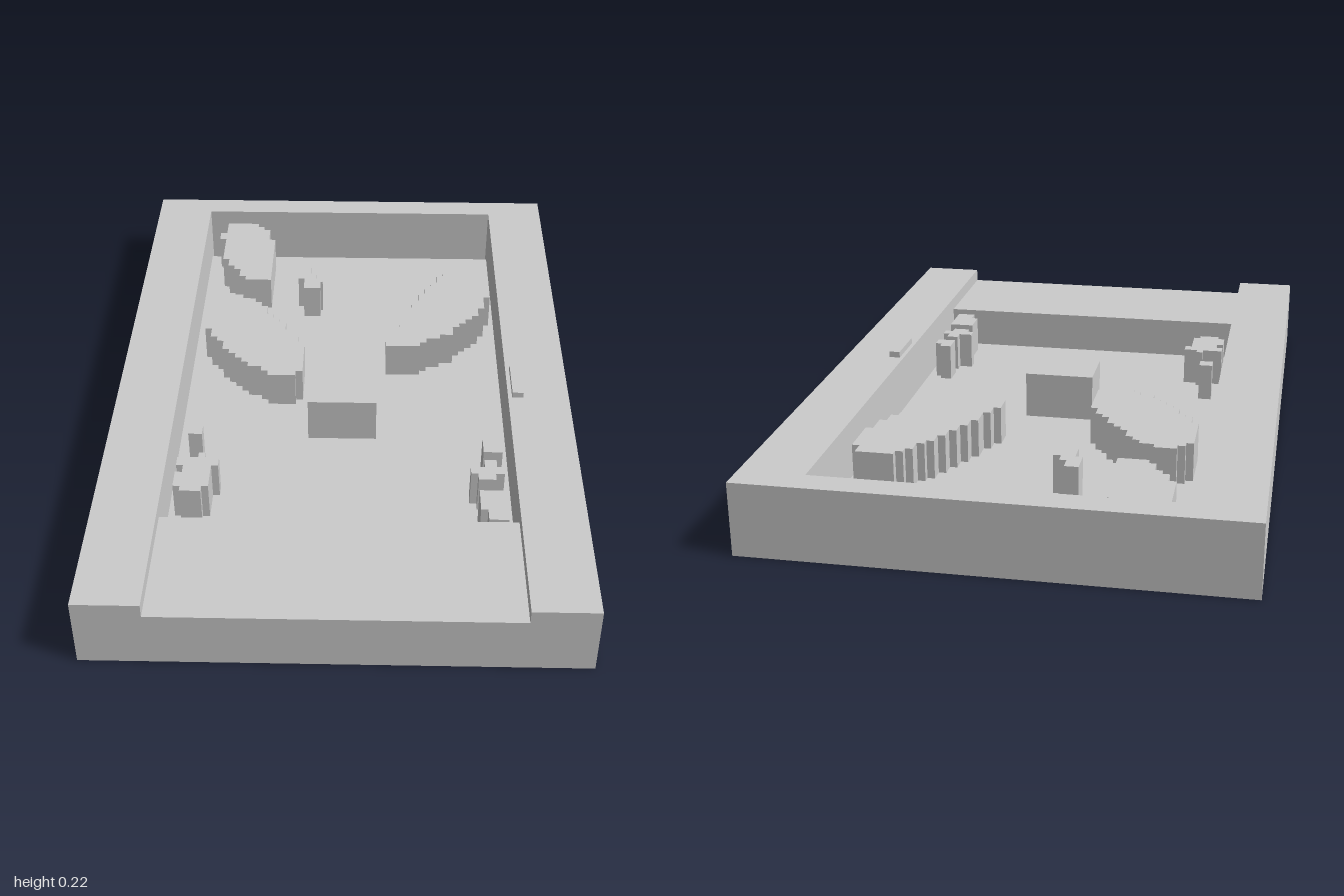
import * as THREE from 'three';

const TOP = 0.204, LEDGE = 0.165, FLOOR = 0.042, STEP = 0.0215;
const material = new THREE.MeshStandardMaterial({ color: 0xcccccc, flatShading: true });

function add(group, name, geometry) {
  const mesh = new THREE.Mesh(geometry, material);
  mesh.name = name;
  group.add(mesh);
}

// Box from its limits on each axis
function box(x0, x1, y0, y1, z0, z1) {
  return new THREE.BoxGeometry(x1 - x0, y1 - y0, z1 - z0)
    .translate((x0 + x1) / 2, (y0 + y1) / 2, (z0 + z1) / 2);
}

// Upright prism over a plan outline of [x, z] points
function prism(outline, height) {
  const shape = new THREE.Shape(outline.map(([x, z]) => new THREE.Vector2(x, -z)));
  return new THREE.ExtrudeGeometry(shape, { depth: height, bevelEnabled: false }).rotateX(-Math.PI / 2);
}

// Stepped prism from rows of [zStart, zEnd, xLeft, xRight]
function steppedPrism(rows, height) {
  const left = [], right = [];
  for (const [z0, z1, x0, x1] of rows) {
    left.push([x0, z0], [x0, z1]);
    right.push([x1, z0], [x1, z1]);
  }
  return prism([...left, ...right.reverse()], height);
}

// Linear interpolation along [z, x] points
function sample(points, z) {
  for (let i = 1; i < points.length; i++) {
    const [za, xa] = points[i - 1], [zb, xb] = points[i];
    if (z <= zb) return xa + (xb - xa) * Math.max(0, (z - za) / (zb - za));
  }
  return points[points.length - 1][1];
}

// Rows snapped to a grid between a left and a right edge curve
function gridRows(z0, z1, left, right) {
  const count = Math.round((z1 - z0) / STEP), d = (z1 - z0) / count;
  const snap = (x) => Math.round(x / STEP) * STEP;
  return Array.from({ length: count }, (_, i) => {
    const z = z0 + d * (i + 0.5);
    return [z0 + d * i, z0 + d * (i + 1), snap(sample(left, z)), snap(sample(right, z))];
  });
}

export function createModel() {
  const model = new THREE.Group();

  // Tray: U-shaped rim, lower front ledge, and floor with a slot at the back
  add(model, 'rim', prism([
    [-0.67, -1], [0.67, -1], [0.67, 1], [0.49, 1],
    [0.49, -0.92], [-0.49, -0.92], [-0.49, 1], [-0.67, 1],
  ], TOP));
  add(model, 'frontLedge', box(-0.49, 0.49, 0, LEDGE, 0.63, 1));
  add(model, 'floor', box(-0.49, 0.49, FLOOR - 0.004, FLOOR, -0.88, 0.63));

  // Centre block and small tab on the side rail
  add(model, 'centreBlock', box(-0.105, 0.1, FLOOR, 0.18, -0.02, 0.135));
  add(model, 'railTab', box(0.502, 0.535, TOP, 0.222, -0.01, 0.13));

  // Large oval islands with stepped outlines
  const islands = {
    backIsland: gridRows(-0.92, -0.56,
      [[-0.92, -0.43], [-0.87, -0.43], [-0.83, -0.45], [-0.79, -0.43], [-0.7, -0.43], [-0.62, -0.38], [-0.56, -0.33]],
      [[-0.92, -0.32], [-0.86, -0.28], [-0.75, -0.25], [-0.6, -0.25], [-0.56, -0.27]]),
    rightIsland: gridRows(-0.47, -0.03,
      [[-0.47, -0.38], [-0.43, -0.45], [-0.3, -0.45], [-0.22, -0.41], [-0.16, -0.37], [-0.1, -0.32], [-0.05, -0.25], [-0.03, -0.2]],
      [[-0.47, -0.35], [-0.42, -0.28], [-0.3, -0.2], [-0.2, -0.13], [-0.05, -0.13], [-0.03, -0.17]]),
    leftIsland: gridRows(-0.64, -0.19,
      [[-0.64, 0.35], [-0.55, 0.28], [-0.4, 0.2], [-0.28, 0.15], [-0.24, 0.13], [-0.19, 0.13]],
      [[-0.64, 0.45], [-0.56, 0.47], [-0.49, 0.47], [-0.42, 0.45], [-0.36, 0.42], [-0.26, 0.33], [-0.19, 0.21]]),
  };

  // Small posts and clusters
  const posts = {
    backPost: [[-0.64, -0.6, -0.165, -0.125], [-0.6, -0.57, -0.165, -0.105], [-0.57, -0.55, -0.145, -0.083], [-0.55, -0.513, -0.145, -0.09]],
    rightPost: [[0.22, 0.26, -0.45, -0.41]],
    rightCluster: [[0.345, 0.365, -0.41, -0.39], [0.365, 0.4, -0.47, -0.35], [0.4, 0.43, -0.45, -0.37], [0.43, 0.49, -0.47, -0.37], [0.49, 0.51, -0.45, -0.39]],
    leftPost: [[0.262, 0.285, 0.41, 0.445], [0.285, 0.325, 0.41, 0.465]],
    leftCluster: [[0.36, 0.39, 0.41, 0.445], [0.39, 0.42, 0.37, 0.465], [0.42, 0.445, 0.39, 0.44]],
    leftFrontPost: [[0.49, 0.57, 0.39, 0.465], [0.57, 0.61, 0.41, 0.465]],
  };
  for (const [name, rows] of Object.entries({ ...islands, ...posts })) {
    add(model, name, steppedPrism(rows, 0.155));
  }
  return model;
}
